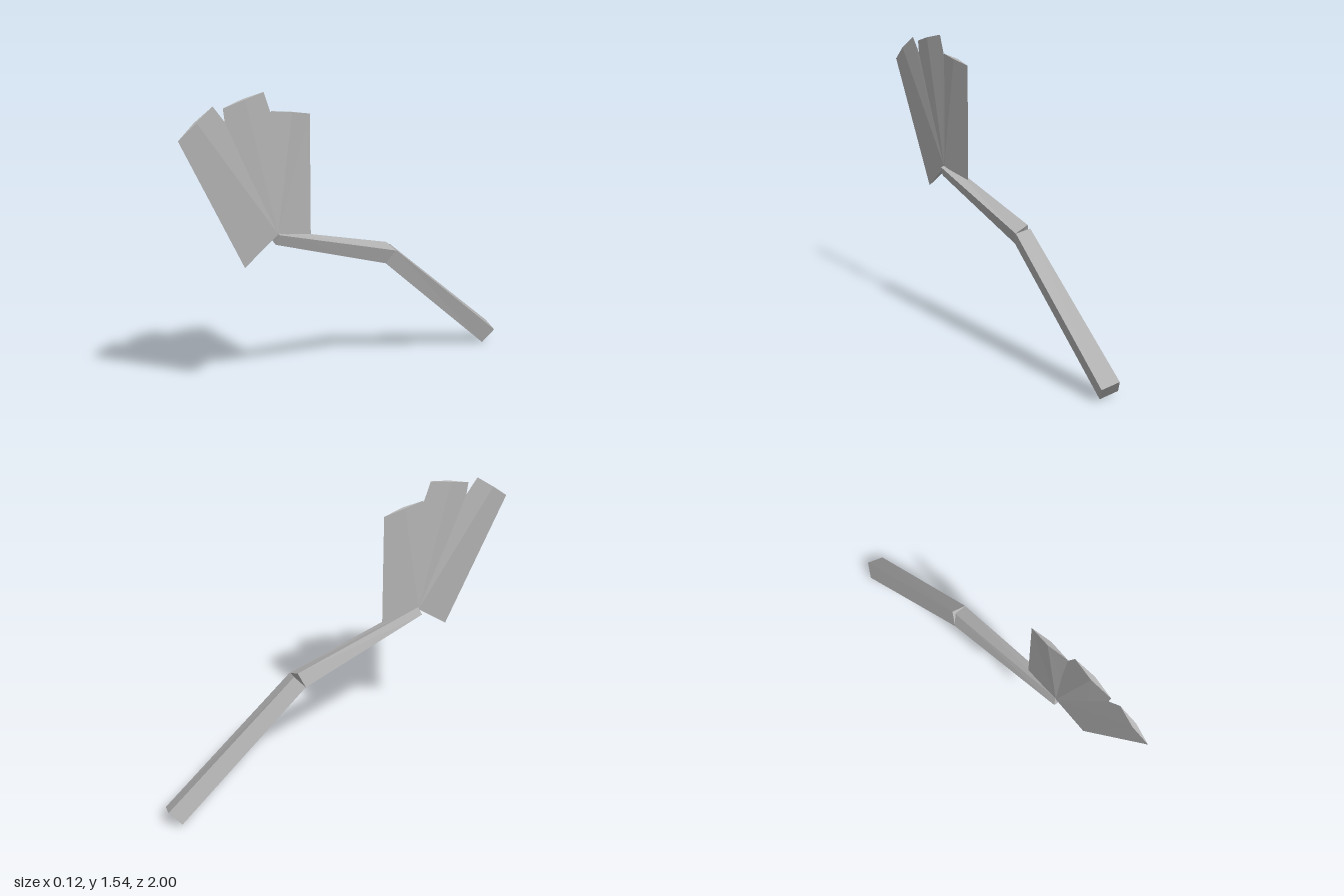
import * as THREE from 'three';

const grey = new THREE.MeshStandardMaterial({ color: 0xb2b2b2, side: THREE.DoubleSide });
grey.name = 'plain grey';

// Flat-faced mesh from convex polygons, each a counterclockwise list of [x, y, z] points
function facetMesh(name, polygons) {
  const positions = [];
  for (const p of polygons) {
    for (let i = 1; i < p.length - 1; i++) positions.push(...p[0], ...p[i], ...p[i + 1]);
  }
  const geometry = new THREE.BufferGeometry();
  geometry.setAttribute('position', new THREE.Float32BufferAttribute(positions, 3));
  geometry.computeVertexNormals();
  const mesh = new THREE.Mesh(geometry, grey);
  mesh.name = name;
  return mesh;
}

// Four-sided bar between a back and a front cross-section
function bar(name, back, front) {
  const faces = [[...back].reverse(), front];
  for (let i = 0; i < 4; i++) {
    const j = (i + 1) % 4;
    faces.push([back[i], back[j], front[j], front[i]]);
  }
  return facetMesh(name, faces);
}

// Fan blade: thin side edges, thicker along a ridge from the hub to the middle of the tip
function blade(name, [lz, ly], [rz, ry]) {
  const baseFront = [0, 0.705, 0.65], baseBack = [0, 0.81, 0.255];
  const tipFront = [0, ly, lz], tipBack = [0, ry, rz];
  const hub = (s) => [0.018 * s, 0.845, 0.465];
  const mid = (s) => [0.012 * s, (ly + ry) / 2 + 0.003, (lz + rz) / 2];
  const faces = [
    [tipFront, mid(1), tipBack, mid(-1)],
    [baseFront, hub(-1), hub(1)],
    [hub(1), hub(-1), baseBack],
  ];
  for (const s of [1, -1]) {
    const side = [
      [baseFront, hub(s), mid(s)], [baseFront, mid(s), tipFront],
      [hub(s), baseBack, tipBack], [hub(s), tipBack, mid(s)],
    ];
    faces.push(...(s > 0 ? side : side.map((f) => f.reverse())));
  }
  return facetMesh(name, faces);
}

export function createModel() {
  const model = new THREE.Group();
  model.name = 'bentHandledFan';

  // Lower half of the handle, twisted slightly about its length
  model.add(bar('lowerHandle',
    [[-0.063, 0.03, -0.945], [0.025, 0, -0.92], [0.06, 0.072, -0.978], [-0.028, 0.1, -1]],
    [[-0.055, 0.607, -0.227], [0.022, 0.582, -0.212], [0.05, 0.648, -0.262], [-0.025, 0.667, -0.277]]));

  // Upper half, opening a small notch on top of the bend
  model.add(bar('upperHandle',
    [[-0.055, 0.607, -0.227], [0.022, 0.582, -0.212], [0.05, 0.648, -0.26], [-0.025, 0.68, -0.255]],
    [[-0.038, 0.82, 0.475], [0.018, 0.795, 0.48], [0.037, 0.845, 0.468], [-0.018, 0.858, 0.462]]));

  // Three overlapping blades spreading from the hub
  const fan = new THREE.Group();
  fan.name = 'fan';
  fan.add(
    blade('frontBlade', [1, 1.36], [0.81, 1.5]),
    blade('middleBlade', [0.755, 1.485], [0.525, 1.54]),
    blade('backBlade', [0.485, 1.445], [0.255, 1.41]),
  );
  model.add(fan);
  return model;
}
